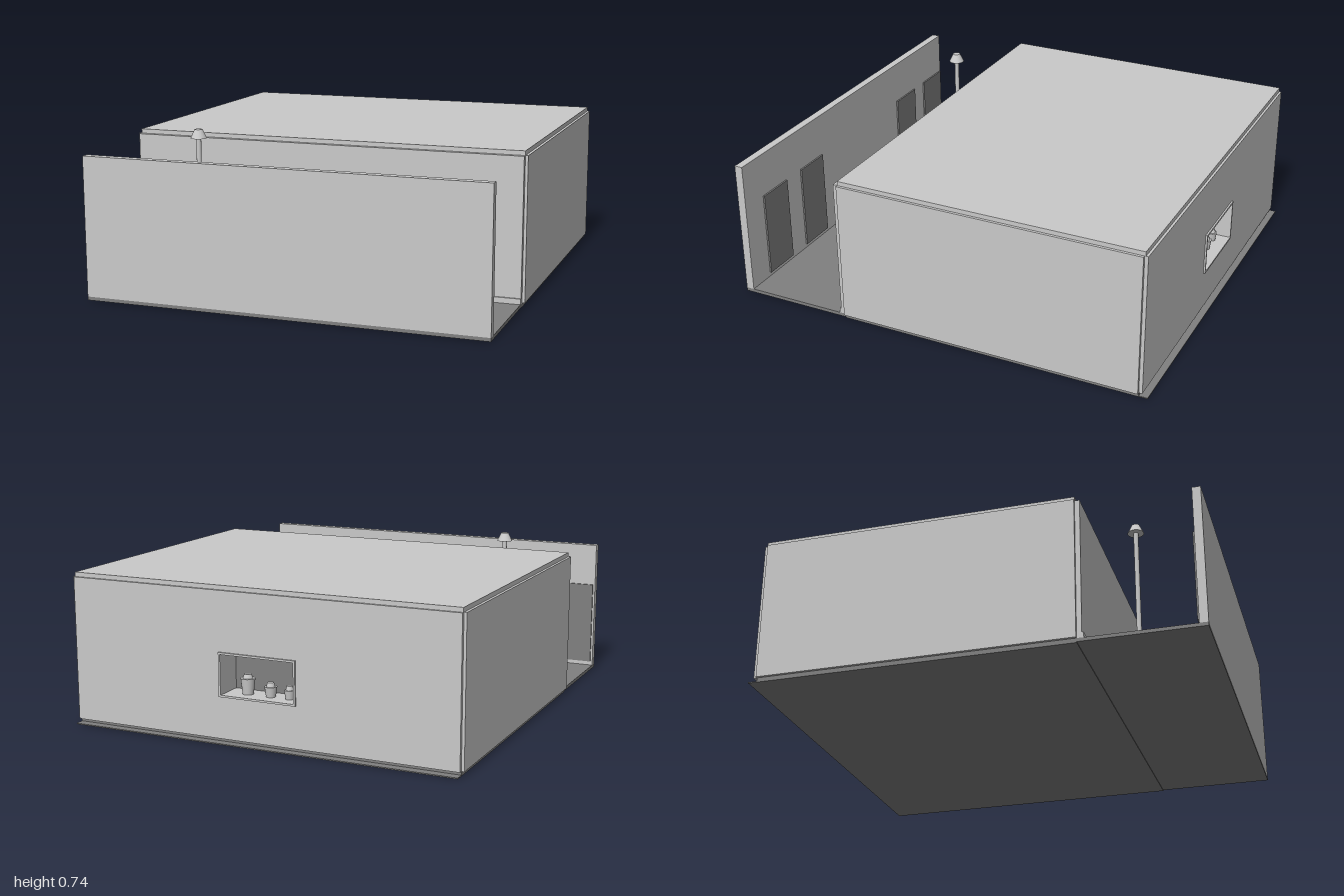
import * as THREE from 'three';

const light = new THREE.MeshStandardMaterial({ color: 0xcacaca });
light.name = 'light grey';
const dark = new THREE.MeshStandardMaterial({ color: 0x808080 });
dark.name = 'dark grey';

function add(parent, name, geometry, material) {
  const mesh = new THREE.Mesh(geometry, material);
  mesh.name = name;
  parent.add(mesh);
  return mesh;
}

// Box given by its low and high limits on each axis
function block(parent, name, [x0, x1], [y0, y1], [z0, z1], material = light) {
  const mesh = add(parent, name, new THREE.BoxGeometry(x1 - x0, y1 - y0, z1 - z0), material);
  mesh.position.set((x0 + x1) / 2, (y0 + y1) / 2, (z0 + z1) / 2);
  return mesh;
}

// Upright round part standing at height y
function round(parent, name, rTop, rBottom, height, x, y, z, sides = 16, material = light) {
  const mesh = add(parent, name, new THREE.CylinderGeometry(rTop, rBottom, height, sides), material);
  mesh.position.set(x, y + height / 2, z);
  return mesh;
}

// Thin round bar between two points
function bar(parent, name, a, b, radius) {
  const from = new THREE.Vector3(...a), to = new THREE.Vector3(...b);
  const dir = to.clone().sub(from);
  const mesh = add(parent, name, new THREE.CylinderGeometry(radius, radius, dir.length(), 10), light);
  mesh.position.copy(from).add(to).multiplyScalar(0.5);
  mesh.quaternion.setFromUnitVectors(new THREE.Vector3(0, 1, 0), dir.normalize());
  return mesh;
}

// Wall facing z with one rectangular opening
function openWall(parent, name, [hx0, hx1], [hy0, hy1], [z0, z1]) {
  const rect = (S, x0, x1, y0, y1) => new S().moveTo(x0, y0).lineTo(x1, y0).lineTo(x1, y1).lineTo(x0, y1).closePath();
  const shape = rect(THREE.Shape, -0.915, 0.915, 0.02, 0.67);
  shape.holes.push(rect(THREE.Path, hx0, hx1, hy0, hy1));
  const mesh = add(parent, name, new THREE.ExtrudeGeometry(shape, { depth: z1 - z0, bevelEnabled: false }), light);
  mesh.position.z = z0;
}

// Border strips around an opening
function frame(parent, name, [x0, x1], [y0, y1], z, w) {
  block(parent, name, [x0, x1], [y1 - w, y1], z);
  block(parent, name, [x0, x1], [y0, y0 + w], z);
  block(parent, name, [x0, x0 + w], [y0 + w, y1 - w], z);
  block(parent, name, [x1 - w, x1], [y0 + w, y1 - w], z);
}

// Lining behind an opening; back is the z of its rear plate
function niche(parent, name, [x0, x1], [y0, y1], mouth, back) {
  const z = [Math.min(mouth, back), Math.max(mouth, back)], t = 0.01;
  block(parent, name + 'Top', [x0 - t, x1 + t], [y1, y1 + t], z);
  block(parent, name + 'Floor', [x0 - t, x1 + t], [y0 - t, y0], z);
  block(parent, name + 'Side', [x0 - t, x0], [y0, y1], z);
  block(parent, name + 'Side', [x1, x1 + t], [y0, y1], z);
  block(parent, name + 'Back', [x0 - t, x1 + t], [y0 - t, y1 + t], [back - 0.005, back + 0.005], dark);
}

function makeBuilding() {
  const g = new THREE.Group();
  g.name = 'building';
  block(g, 'baseSlab', [-0.915, 0.915], [0, 0.02], [-0.96, 0.46], dark);
  block(g, 'baseEdge', [-0.915, 0.915], [0, 0.005], [-1, -0.96], dark);
  block(g, 'roof', [-0.915, 0.915], [0.67, 0.69], [-0.965, 0.46]);
  for (const s of [-1, 1]) {
    const mid = s * 0.921;
    block(g, 'sideWall', [mid - 0.0065, mid + 0.0065], [0.02, 0.67], [-0.96, 0.46]);
  }
  // Front wall with the doorway
  openWall(g, 'frontWall', [0.05, 0.31], [0.05, 0.44], [0.46, 0.482]);
  frame(g, 'doorFrame', [0.04, 0.32], [0.04, 0.45], [0.482, 0.489], 0.01);
  niche(g, 'doorway', [0.05, 0.31], [0.05, 0.44], 0.465, 0.39);
  block(g, 'baseboard', [-0.915, 0.915], [0.02, 0.045], [0.482, 0.49]);
  // Back wall with the display window
  openWall(g, 'backWall', [-0.175, 0.175], [0.215, 0.395], [-0.976, -0.957]);
  frame(g, 'windowFrame', [-0.183, 0.183], [0.207, 0.403], [-0.984, -0.976], 0.009);
  niche(g, 'window', [-0.175, 0.175], [0.215, 0.395], -0.96, -0.84);
  for (const [x, r, h] of [[0.08, 0.032, 0.07], [-0.03, 0.028, 0.045], [-0.12, 0.024, 0.04]]) {
    round(g, 'jar', r, r * 0.75, h, x, 0.215, -0.91);
    round(g, 'jarLid', r * 0.5, r * 0.7, 0.018, x, 0.215 + h, -0.91);
  }
  return g;
}

function makeCorridor() {
  const g = new THREE.Group();
  g.name = 'corridor';
  block(g, 'corridorFloor', [-0.915, 0.915], [0.004, 0.02], [0.46, 1], dark);
  block(g, 'outerWall', [-0.915, 0.915], [0.02, 0.65], [0.962, 1]);
  for (const [x0, x1] of [[-0.905, -0.72], [-0.62, -0.435], [0.29, 0.475], [0.595, 0.78]]) {
    block(g, 'wallPanel', [x0, x1], [0.04, 0.445], [0.954, 0.962], dark);
  }
  // Lamp post
  round(g, 'lampBase', 0.016, 0.02, 0.015, -0.53, 0.02, 0.645);
  round(g, 'lampPost', 0.011, 0.011, 0.675, -0.53, 0.02, 0.645);
  round(g, 'lampShade', 0.018, 0.037, 0.04, -0.53, 0.695, 0.645);
  return g;
}

function makeStool(x, z, h, r) {
  const g = new THREE.Group();
  g.name = 'stool';
  round(g, 'stoolSeat', r, r, 0.014, x, h - 0.014, z, 10);
  for (let i = 0; i < 4; i++) {
    const a = Math.PI / 4 + i * Math.PI / 2, b = a + Math.PI / 2;
    const p = (t, y) => [x + Math.cos(t) * r * 0.85, y, z + Math.sin(t) * r * 0.85];
    bar(g, 'stoolLeg', p(a, 0.02), p(a, h - 0.01), 0.003);
    bar(g, 'stoolRail', p(a, 0.055), p(b, 0.055), 0.002);
  }
  return g;
}

function makeTable() {
  const g = new THREE.Group();
  g.name = 'table';
  block(g, 'tableTop', [0.147, 0.33], [0.157, 0.167], [0.568, 0.675]);
  for (const x of [0.155, 0.322]) {
    for (const z of [0.58, 0.665]) bar(g, 'tableLeg', [x, 0.02, z], [x, 0.158, z], 0.004);
  }
  block(g, 'sideShelf', [0.09, 0.147], [0.14, 0.148], [0.572, 0.586]);
  bar(g, 'shelfBrace', [0.145, 0.115, 0.579], [0.11, 0.14, 0.579], 0.002);
  round(g, 'pot', 0.031, 0.027, 0.022, 0.22, 0.167, 0.62, 20);
  round(g, 'potLid', 0.026, 0.031, 0.006, 0.22, 0.189, 0.62, 20);
  round(g, 'cup', 0.01, 0.008, 0.016, 0.285, 0.167, 0.615);
  return g;
}

function makePerson() {
  const g = new THREE.Group();
  g.name = 'seatedPerson';
  const x = 0.21, z = 0.757;
  const ball = (name, r, y, sy = 1, sx = 1) => {
    const m = add(g, name, new THREE.SphereGeometry(r, 16, 12), light);
    m.position.set(x, y, z);
    m.scale.set(sx, sy, 1);
  };
  ball('head', 0.021, 0.248);
  round(g, 'neck', 0.008, 0.009, 0.02, x, 0.217, z);
  ball('torso', 0.021, 0.185, 2.1, 1.35);
  ball('hips', 0.025, 0.135, 0.8, 1.2);
  for (const s of [-1, 1]) {
    bar(g, 'thigh', [x + s * 0.019, 0.127, z], [x + s * 0.019, 0.125, 0.68], 0.012);
    bar(g, 'shin', [x + s * 0.019, 0.13, 0.68], [x + s * 0.019, 0.03, 0.675], 0.009);
    block(g, 'foot', [x + s * 0.019 - 0.009, x + s * 0.019 + 0.009], [0.02, 0.034], [0.65, 0.686]);
    bar(g, 'upperArm', [x + s * 0.032, 0.212, z], [x + s * 0.038, 0.16, z + 0.005], 0.008);
    bar(g, 'forearm', [x + s * 0.038, 0.16, z + 0.005], [x + s * 0.024, 0.145, 0.712], 0.007);
  }
  return g;
}

export function createModel() {
  const model = new THREE.Group();
  model.name = 'roomWithCorridor';
  model.add(makeBuilding(), makeCorridor(), makeTable(), makePerson());
  model.add(makeStool(0.21, 0.745, 0.118, 0.035), makeStool(0.352, 0.722, 0.118, 0.035));
  return model;
}
